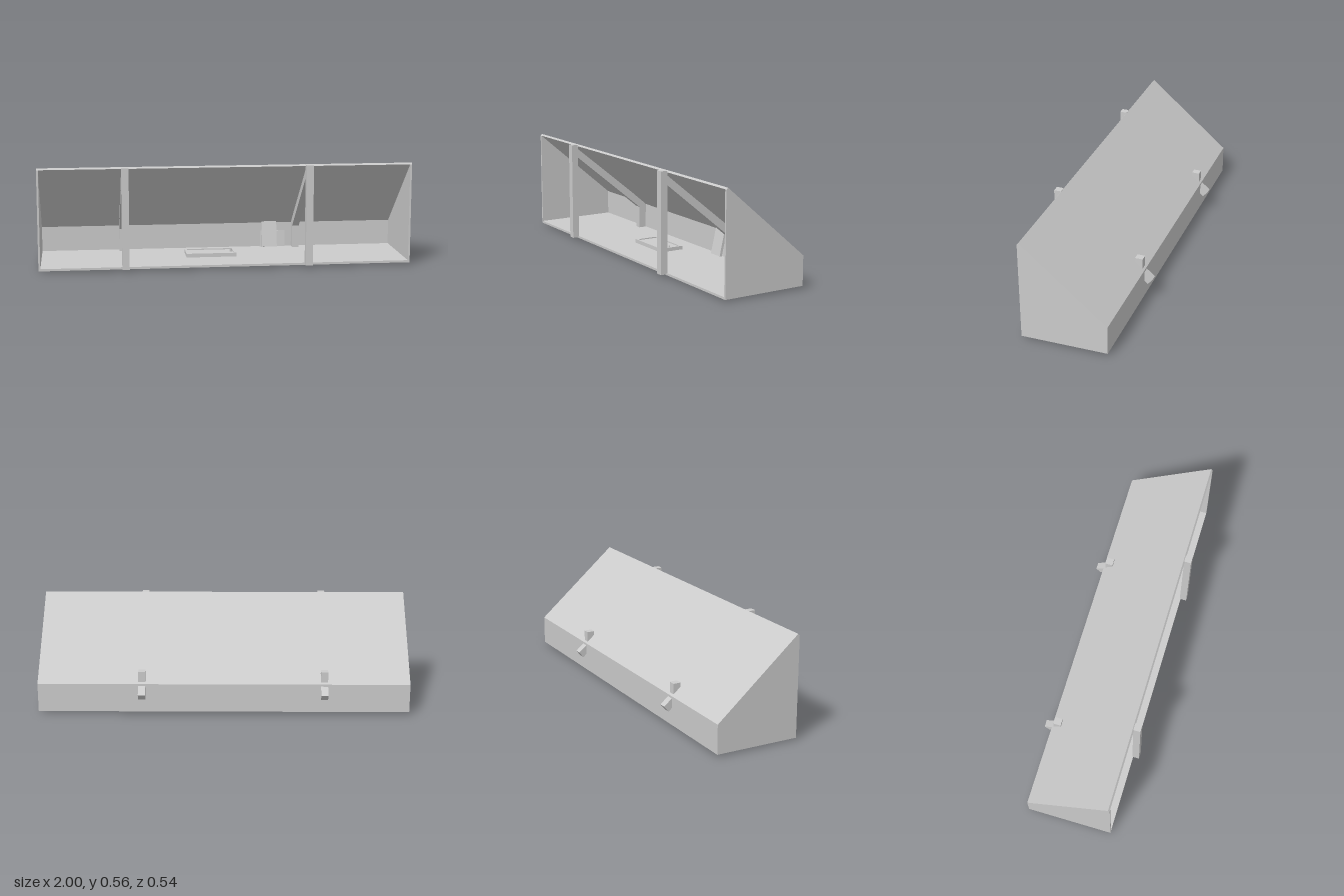
import * as THREE from 'three';

const material = new THREE.MeshStandardMaterial({ color: 0xcccccc, flatShading: true });

function addMesh(parent, name, geometry) {
  const mesh = new THREE.Mesh(geometry, material);
  mesh.name = name;
  parent.add(mesh);
  return mesh;
}

// Box given by its limits on each axis
function addBox(parent, name, [x0, x1], [y0, y1], [z0, z1]) {
  const mesh = addMesh(parent, name, new THREE.BoxGeometry(x1 - x0, y1 - y0, z1 - z0));
  mesh.position.set((x0 + x1) / 2, (y0 + y1) / 2, (z0 + z1) / 2);
  return mesh;
}

// Side profile in (z, y), extruded along x and centred on the given x
function addProfile(parent, name, points, width, x) {
  const shape = new THREE.Shape(points.map(([z, y]) => new THREE.Vector2(z, y)));
  const geometry = new THREE.ExtrudeGeometry(shape, { depth: width, bevelEnabled: false });
  geometry.translate(0, 0, -width / 2).rotateY(-Math.PI / 2);
  const mesh = addMesh(parent, name, geometry);
  mesh.position.x = x;
  return mesh;
}

export function createModel() {
  const model = new THREE.Group();
  model.name = 'leanToShelter';

  // Floor, back wall and sloping roof as one folded sheet
  const outer = [[0.237, 0.009], [-0.225, 0.014], [-0.225, 0.17], [0.228, 0.555], [0.236, 0.546]];
  const inner = [[-0.217, 0.161], [-0.217, 0.024], [0.237, 0.021]];
  addProfile(model, 'shell', [...outer, ...inner], 1.98, 0);

  // Closed ends
  const endOutline = [...outer.slice(0, 4), [0.237, 0.545]];
  for (const side of [-1, 1]) {
    addProfile(model, side > 0 ? 'leftEndWall' : 'rightEndWall', endOutline, 0.01, side * 0.994);
  }

  // Two timber frames: front post, short rear post and a rafter through the back wall
  for (const x of [-0.54, 0.44]) {
    const frame = new THREE.Group();
    frame.name = 'supportFrame';
    frame.position.x = x;
    const span = [-0.019, 0.019];
    addBox(frame, 'frontPost', span, [0.013, 0.553], [0.232, 0.27]);
    addBox(frame, 'rearPost', span, [0.013, 0.235], [-0.215, -0.173]);
    addProfile(frame, 'rafter',
      [[-0.27, 0.122], [-0.244, 0.09], [0.235, 0.481], [0.235, 0.531]], 0.038, 0);
    model.add(frame);
  }

  // Floor hatch: recessed panel inside a raised rim, with a pin through the floor
  const hatch = new THREE.Group();
  hatch.name = 'floorHatch';
  const [x0, x1, z0, z1, rim] = [-0.2, 0.075, -0.1, 0.04, 0.012];
  addBox(hatch, 'hatchPanel', [x0 + rim, x1 - rim], [0.02, 0.037], [z0 + rim, z1 - rim]);
  for (const z of [z0, z1 - rim]) addBox(hatch, 'hatchLongRim', [x0, x1], [0.02, 0.043], [z, z + rim]);
  for (const x of [x0, x1 - rim]) {
    addBox(hatch, 'hatchShortRim', [x, x + rim], [0.02, 0.043], [z0 + rim, z1 - rim]);
  }
  const pin = addMesh(hatch, 'hatchPin', new THREE.CylinderGeometry(0.005, 0.005, 0.05, 10));
  pin.position.set(0.05, 0.025, -0.03);
  model.add(hatch);

  // Boards leaning against the back wall
  const tall = addBox(model, 'tallBoard', [0.249, 0.334], [0.025, 0.17], [-0.204, -0.19]);
  tall.rotation.x = -0.22;
  const wide = addBox(model, 'wideBoard', [0.238, 0.382], [0.024, 0.115], [-0.214, -0.204]);
  wide.rotation.x = -0.1;

  return model;
}
